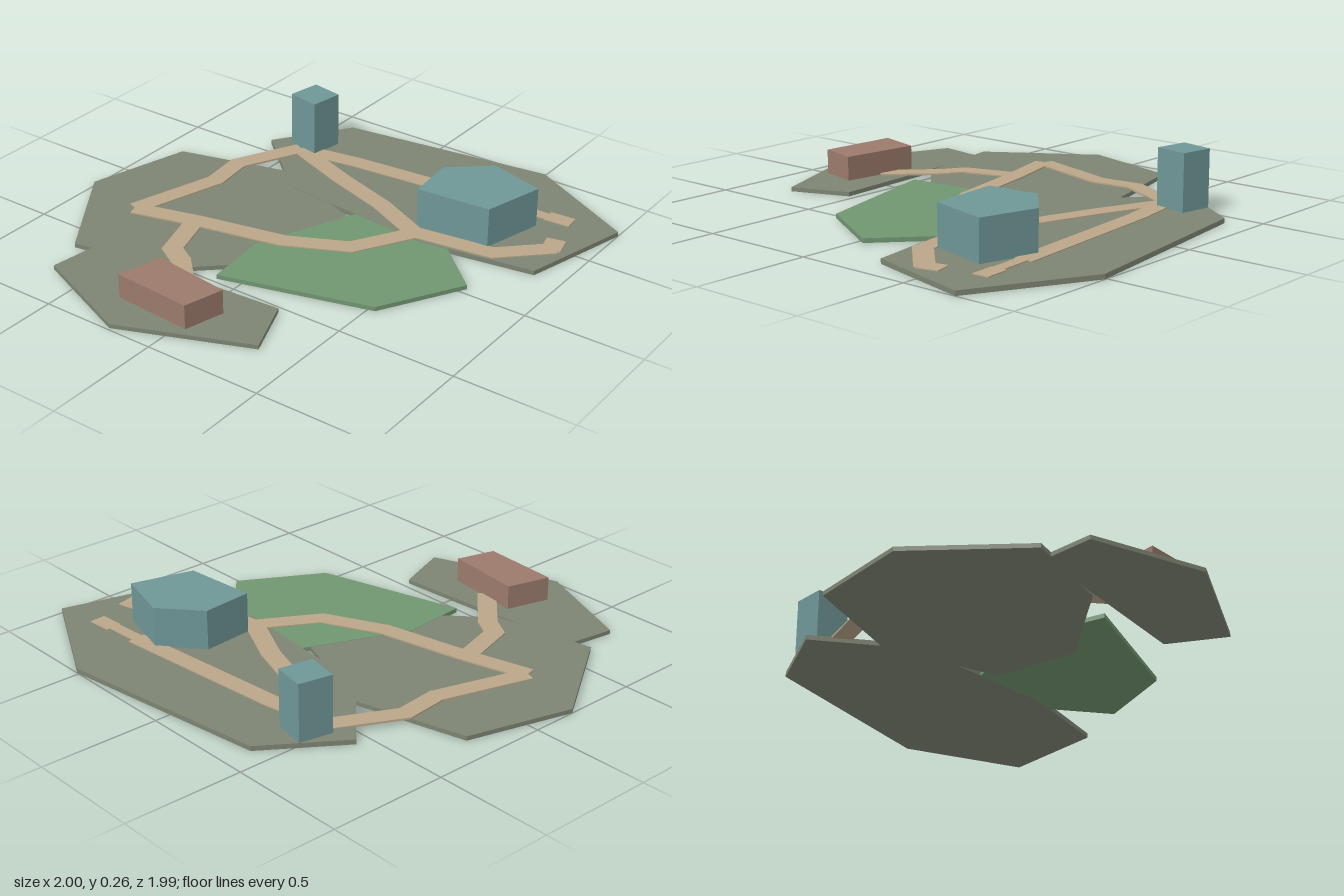
import * as THREE from 'three';

const mat = (name, color) => {
  const m = new THREE.MeshStandardMaterial({ color });
  m.name = name;
  return m;
};

// Upright prism over an outline of [x, z] corners
function prism(name, outline, y0, y1, material) {
  const shape = new THREE.Shape(outline.map(([x, z]) => new THREE.Vector2(x, -z)));
  const geo = new THREE.ExtrudeGeometry(shape, { depth: y1 - y0, bevelEnabled: false });
  geo.rotateX(-Math.PI / 2);
  geo.translate(0, y0, 0);
  const mesh = new THREE.Mesh(geo, material);
  mesh.name = name;
  return mesh;
}

// Footpath made of straight slabs, each reaching a little past its bends
function path(name, points, material, width = 0.08) {
  const group = new THREE.Group();
  group.name = name;
  for (let i = 0; i + 1 < points.length; i++) {
    const [ax, az] = points[i], [bx, bz] = points[i + 1];
    const dx = bx - ax, dz = bz - az;
    const slab = new THREE.Mesh(
      new THREE.BoxGeometry(Math.hypot(dx, dz) + 0.03, 0.008, width), material);
    slab.position.set((ax + bx) / 2, 0.02, (az + bz) / 2);
    slab.rotation.y = -Math.atan2(dz, dx);
    slab.name = 'pathSlab';
    group.add(slab);
  }
  return group;
}

export function createModel() {
  const model = new THREE.Group();
  model.name = 'sitePlan';
  const ground = mat('ground grey green', 0x7d8472);
  const lawn = mat('lawn green', 0x709570);
  const teal = mat('teal building', 0x6f9696);
  const brick = mat('brick building', 0x9a7a6b);
  const sand = mat('sand path', 0xbaa688);

  // Overlapping ground plates
  model.add(
    prism('backGround', [[-0.41, -0.88], [0.51, -1], [1, -0.74], [0.88, -0.275],
      [0.4, -0.2], [-0.3, -0.27], [-0.63, -0.565]], 0, 0.02, ground),
    prism('rightGround', [[-0.88, -0.25], [-0.41, -0.37], [0.1, -0.18], [0.1, 0.2],
      [-0.28, 0.55], [-0.71, 0.625], [-1, 0.19]], 0, 0.018, ground),
    prism('frontGround', [[-0.63, 0.585], [0.24, 0.53], [0.335, 0.775], [-0.2, 0.99],
      [-0.66, 0.8]], 0, 0.0175, ground),
    prism('lawn', [[0.07, -0.27], [0.46, -0.27], [0.725, -0.03], [0.53, 0.31],
      [-0.1, 0.48], [-0.125, 0.2]], 0.001, 0.0192, lawn));

  // Buildings
  model.add(
    prism('tower', [[-0.51, -0.735], [-0.37, -0.71], [-0.395, -0.567], [-0.538, -0.595]],
      0.015, 0.26, teal),
    prism('hall', [[0.46, -0.66], [0.705, -0.59], [0.635, -0.325], [0.315, -0.3],
      [0.295, -0.52]], 0.015, 0.19, teal),
    prism('lodge', [[-0.245, 0.635], [0.095, 0.68], [0.05, 0.85], [-0.295, 0.825]],
      0.015, 0.12, brick));

  // Footpaths
  model.add(
    path('backPath', [[-0.45, -0.57], [-0.2, -0.61], [0.55, -0.675]], sand),
    path('backPathEnd', [[0.55, -0.67], [0.8, -0.685]], sand, 0.05),
    path('backPathLanding', [[0.72, -0.685], [0.8, -0.69]], sand, 0.07),
    path('middlePath', [[-0.45, -0.56], [-0.17, -0.45], [0.1, -0.36], [0.33, -0.25]], sand),
    path('hallPath', [[0.31, -0.245], [0.68, -0.295], [0.85, -0.46], [0.835, -0.52]], sand),
    path('lawnPath', [[0.34, -0.24], [0.2, 0], [-0.05, 0.12], [-0.42, 0.195], [-0.69, 0.265]], sand),
    path('lodgePath', [[-0.43, 0.22], [-0.365, 0.43], [-0.28, 0.48], [-0.1, 0.66]], sand),
    path('towerPath', [[-0.7, 0.25], [-0.59, -0.12], [-0.61, -0.3], [-0.48, -0.56]], sand));

  return model;
}
